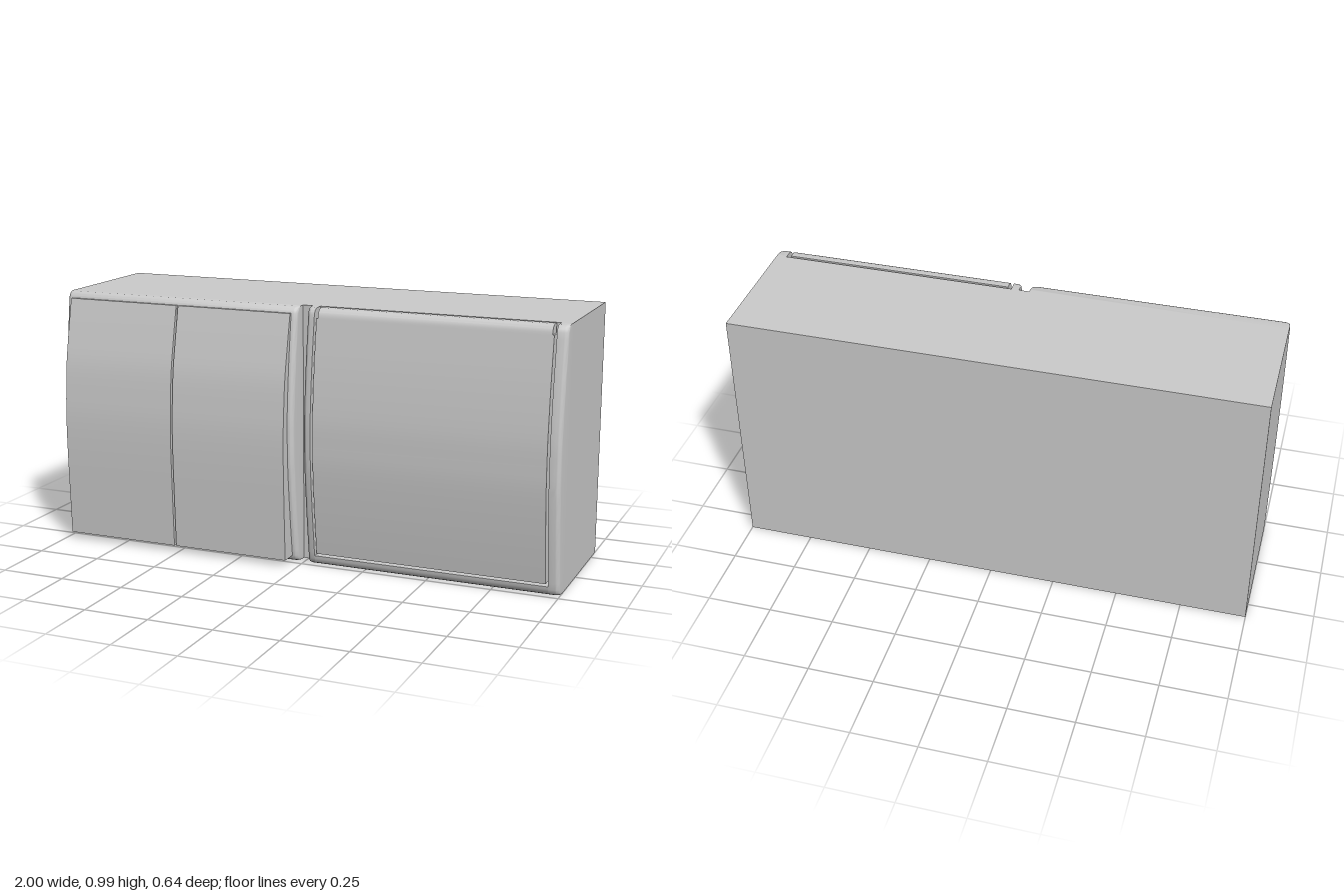
import * as THREE from 'three';
import { toCreasedNormals } from 'three/addons/utils/BufferGeometryUtils.js';

const H = 0.985, SEAT = 0.18;
const material = new THREE.MeshStandardMaterial({ color: 0xcccccc });

// Stations (y, z) along a smooth side profile
function curve(points, n) {
  return new THREE.SplineCurve(points.map(p => new THREE.Vector2(...p)))
    .getPoints(n).map(p => [p.x, p.y]);
}

// Bulged frame profile with softly rounded bottom and top edges
const frameProfile = [
  [0, 0.212], [0.002, 0.222], [0.007, 0.231], [0.014, 0.236],
  ...curve([[0.025, 0.24], [0.2, 0.262], [0.38, 0.279], [0.49, 0.282],
    [0.6, 0.28], [0.78, 0.264], [0.96, 0.24]], 28),
  [0.971, 0.236], [0.978, 0.231], [0.983, 0.222], [H, 0.212],
];
const rockerProfile = curve([[0.025, 0.308], [0.2, 0.314], [0.37, 0.319],
  [0.5, 0.319], [0.6, 0.313], [0.72, 0.301], [0.84, 0.277], [0.962, 0.25]], 28);

// Part of a profile between two heights, ends interpolated
function cut(profile, y0, y1) {
  const at = y => {
    const i = Math.max(1, profile.findIndex(p => p[0] >= y));
    const [a, b] = [profile[i - 1], profile[i]];
    return [y, a[1] + (b[1] - a[1]) * (y - a[0]) / (b[0] - a[0])];
  };
  return [at(y0), ...profile.filter(p => p[0] > y0 + 1e-4 && p[0] < y1 - 1e-4), at(y1)];
}

// Cross-section in x and z, with optional rounding of the two front edges
function section(x0, x1, back, front, rLeft, rRight) {
  const pts = [[x0, back]];
  const arc = (cx, r, from) => {
    const n = r ? 6 : 0;
    for (let i = 0; i <= n; i++) {
      const a = from - (n ? i / n : 0) * Math.PI / 2;
      pts.push([cx + r * Math.cos(a), front - r + r * Math.sin(a)]);
    }
  };
  arc(x0 + rLeft, rLeft, Math.PI);
  arc(x1 - rRight, rRight, Math.PI / 2);
  pts.push([x1, back]);
  return pts;
}

// Solid lofted upwards through one cross-section per station
function loft(name, profile, x0, x1, back, rLeft = 0, rRight = 0) {
  const pos = [], idx = [];
  let n = 0;
  for (const [y, z] of profile) {
    const s = section(x0, x1, back, z, rLeft, rRight);
    n = s.length;
    for (const [x, zz] of s) pos.push(x, y, zz);
  }
  const rows = profile.length;
  for (let r = 0; r < rows - 1; r++) {
    for (let i = 0; i < n; i++) {
      const a = r * n + i, b = r * n + (i + 1) % n;
      idx.push(a, b, b + n, a, b + n, a + n);
    }
  }
  const top = (rows - 1) * n;
  for (let i = 1; i < n - 1; i++) {
    idx.push(0, i + 1, i, top, top + i, top + i + 1);
  }
  const g = new THREE.BufferGeometry();
  g.setAttribute('position', new THREE.Float32BufferAttribute(pos, 3));
  g.setIndex(idx);
  const mesh = new THREE.Mesh(toCreasedNormals(g, 0.6), material);
  mesh.name = name;
  return mesh;
}

export function createModel() {
  const model = new THREE.Group();
  model.name = 'doubleWallSwitchAndSocket';

  // Plain housing box behind both fronts
  const housing = new THREE.Mesh(new THREE.BoxGeometry(2, H, SEAT + 0.32), material);
  housing.position.set(0, H / 2, (SEAT - 0.32) / 2);
  housing.name = 'housing';
  model.add(housing);

  // Switch side: cushioned frame with two rockers
  const switchUnit = new THREE.Group();
  switchUnit.name = 'switchUnit';
  switchUnit.add(loft('switchFrame', frameProfile, -1, -0.02, SEAT, 0.02, 0.02));
  for (const [x0, x1] of [[-0.977, -0.515], [-0.507, -0.042]]) {
    switchUnit.add(loft('rocker', rockerProfile, x0, x1, 0.2));
  }
  model.add(switchUnit);

  // Socket side: rails around a flush hinged lid
  const socketUnit = new THREE.Group();
  socketUnit.name = 'socketUnit';
  socketUnit.add(
    loft('leftRail', frameProfile, 0.02, 0.051, SEAT, 0.02, 0),
    loft('rightRail', frameProfile, 0.96, 1, SEAT, 0, 0.02),
    loft('bottomRail', cut(frameProfile, 0, 0.036), 0.051, 0.96, SEAT),
    loft('lid', cut(frameProfile, 0.046, 0.95), 0.06, 0.951, 0.19),
    loft('lidHinge', cut(frameProfile, 0.95, H), 0.066, 0.945, 0.19),
  );
  model.add(socketUnit);
  return model;
}
